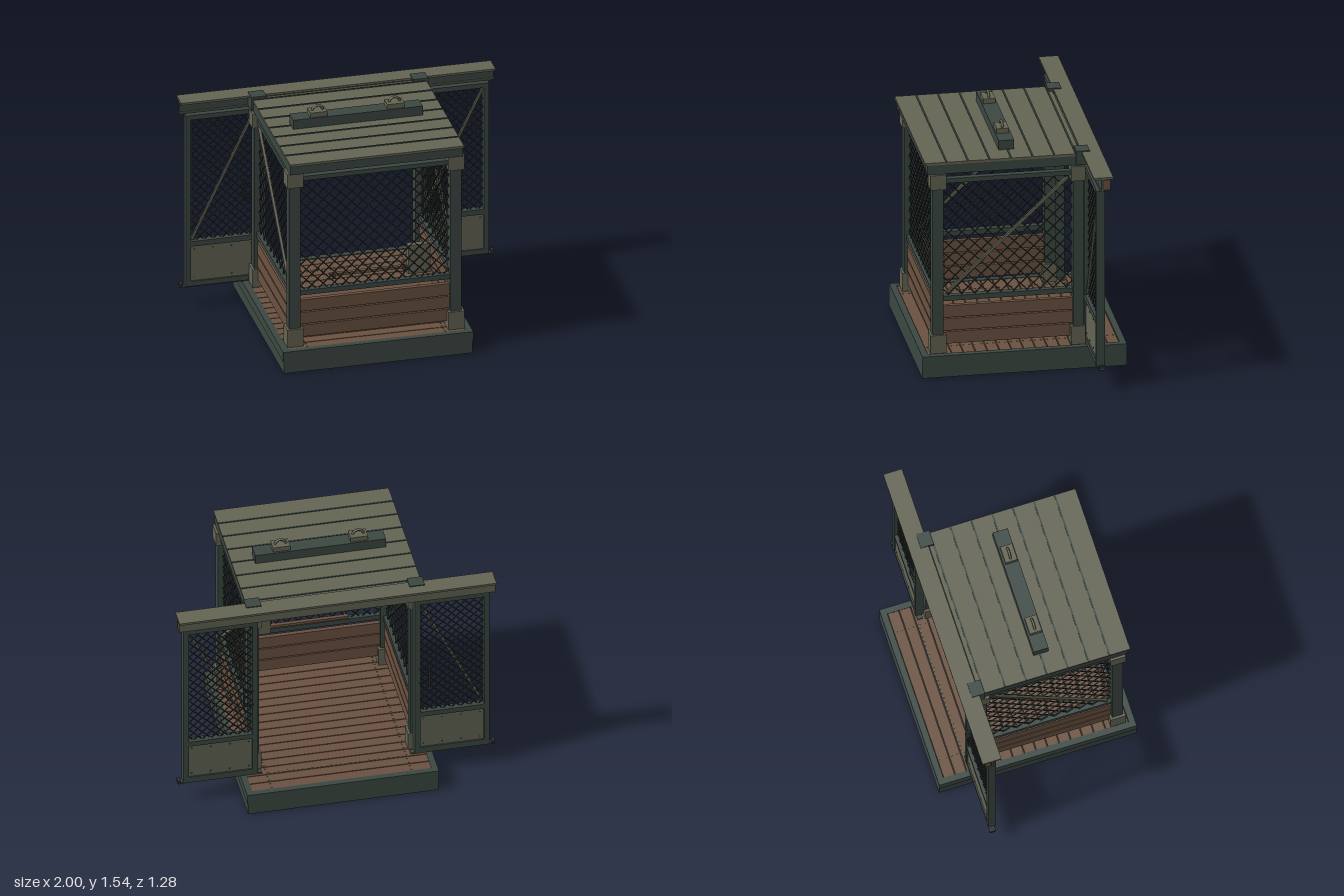
import * as THREE from 'three';
import { mergeGeometries } from 'three/addons/utils/BufferGeometryUtils.js';

const mat = (name, color) => {
  const m = new THREE.MeshStandardMaterial({ color });
  m.name = name;
  return m;
};

export function createModel() {
  const green = mat('dark green steel', 0x3c4843);
  const olive = mat('olive steel', 0x646554);
  const wood = mat('brown wood', 0x6b5241);
  const wire = mat('dark wire', 0x2a312e);
  const model = new THREE.Group();
  model.name = 'liftCage';

  const add = (name, geo, m, parent = model) => {
    const mesh = new THREE.Mesh(geo, m);
    mesh.name = name;
    parent.add(mesh);
    return mesh;
  };
  const boxGeo = (x0, x1, y0, y1, z0, z1) =>
    new THREE.BoxGeometry(x1 - x0, y1 - y0, z1 - z0).translate((x0 + x1) / 2, (y0 + y1) / 2, (z0 + z1) / 2);
  const box = (name, m, x0, x1, y0, y1, z0, z1, parent = model) =>
    add(name, boxGeo(x0, x1, y0, y1, z0, z1), m, parent);

  // Square bar between two points
  const bar = (name, m, a, b, t, parent = model) => {
    const p = new THREE.Vector3(...a), q = new THREE.Vector3(...b);
    const mesh = add(name, new THREE.BoxGeometry(t, p.distanceTo(q), t), m, parent);
    mesh.position.copy(p).add(q).multiplyScalar(0.5);
    mesh.quaternion.setFromUnitVectors(new THREE.Vector3(0, 1, 0), q.sub(p).normalize());
    return mesh;
  };

  // Diamond wire mesh filling a rectangle in the xy plane
  const wireMesh = (name, w, h, pitch, parent = model) => {
    const parts = [];
    for (let c = -(w + h) / 2 + pitch / 2; c < (w + h) / 2; c += pitch) {
      const x0 = Math.max(-w / 2, -h / 2 - c), x1 = Math.min(w / 2, h / 2 - c);
      if (x1 - x0 < 0.005) continue;
      const mid = (x0 + x1) / 2;
      for (const s of [1, -1]) {
        parts.push(new THREE.BoxGeometry((x1 - x0) * Math.SQRT2, 0.006, 0.006)
          .rotateZ(s * Math.PI / 4).translate(s * mid, mid + c, s * 0.002));
      }
    }
    return add(name, mergeGeometries(parts), wire, parent);
  };

  // Base: solid tray, raised rim, plank floor
  box('baseTray', green, -0.6, 0.6, 0, 0.08, -0.64, 0.64);
  box('baseCore', green, -0.57, 0.57, 0.08, 0.122, -0.61, 0.61);
  for (const s of [1, -1]) {
    box('baseRimSide', green, s > 0 ? 0.565 : -0.605, s > 0 ? 0.605 : -0.565, 0.08, 0.145, -0.64, 0.64);
    box('baseRimEnd', green, -0.565, 0.565, 0.08, 0.145, s > 0 ? 0.6 : -0.64, s > 0 ? 0.64 : -0.6);
  }
  const planks = 16, step = 1.2 / planks, nails = [];
  for (let i = 0; i < planks; i++) {
    const z = -0.6 + i * step;
    box('floorPlank', wood, -0.565, 0.565, 0.12, 0.141, z + 0.003, z + step - 0.003);
    for (const x of [-0.44, 0.44]) for (const d of [0.25, 0.75])
      nails.push(new THREE.BoxGeometry(0.01, 0.004, 0.01).translate(x, 0.142, z + d * step));
  }
  for (let x = -0.42; x <= 0.421; x += 0.03)
    nails.push(new THREE.BoxGeometry(0.012, 0.006, 0.012).translate(x, 0.142, -0.44));
  add('floorNails', mergeGeometries(nails), olive);

  // Posts with corner brackets
  for (const x of [-0.513, 0.513]) for (const z of [0.533, -0.347]) {
    box('post', green, x - 0.036, x + 0.036, 0.14, 1.34, z - 0.035, z + 0.035);
    for (const [y0, y1] of [[0.145, 0.265], [1.235, 1.332]])
      box('postBracket', olive, x - 0.051, x + 0.051, y0, y1, z - (z > 0 ? 0.049 : 0.04), z + 0.049);
  }

  // Closed panels on the front and both sides, drawn in local xy
  const panel = (name, w, x, z, turn, pitch) => {
    const g = new THREE.Group();
    g.name = name;
    g.position.set(x, 0, z);
    g.rotation.y = turn;
    model.add(g);
    const h = w / 2;
    for (let i = 0; i < 3; i++)
      box('wallBoard', wood, -h, h, 0.193 + i * 0.087, 0.272 + i * 0.087, -0.014, 0.014, g);
    box('middleRail', green, -h, h, 0.48, 0.513, -0.02, 0.02, g);
    box('topRail', green, -h, h, 1.265, 1.295, -0.02, 0.02, g);
    wireMesh('wireMesh', w, 0.754, pitch, g).position.y = 0.889;
    return g;
  };
  panel('frontPanel', 0.956, 0, 0.533, 0, 0.072);
  for (const s of [-1, 1]) {
    panel('sidePanel', 0.81, s * 0.515, 0.093, Math.PI / 2, 0.082);
    bar('sideBrace', olive, [s * 0.527, 0.54, 0.47], [s * 0.527, 1.255, -0.285], 0.016);
  }

  // Control box and hand bar inside the front panel
  box('controlBox', olive, 0.225, 0.365, 0.52, 0.715, 0.46, 0.505);
  box('handBar', wood, -0.27, 0.225, 0.555, 0.573, 0.465, 0.49);
  for (const x of [-0.25, 0.2]) box('handBarBracket', wire, x - 0.008, x + 0.008, 0.553, 0.57, 0.485, 0.525);

  // Roof frame, planks and seam strips
  for (const s of [-1, 1]) {
    box('roofSideBeam', green, s * 0.513 - 0.036, s * 0.513 + 0.036, 1.335, 1.397, -0.36, 0.6);
    box('railBlock', green, s * 0.515 - 0.048, s * 0.515 + 0.048, 1.34, 1.433, -0.415, -0.33);
  }
  for (const [z0, z1] of [[0.53, 0.598], [-0.38, -0.312]])
    box('roofCrossBeam', green, -0.48, 0.48, 1.335, 1.397, z0, z1);
  const seams = [-0.36, -0.33, -0.195, -0.06, 0.075, 0.21, 0.345, 0.48, 0.615];
  for (let i = 0; i < seams.length - 1; i++) {
    box('roofPlank', olive, -0.553, 0.553, 1.397, 1.413, seams[i], seams[i + 1]);
    if (i) box('roofSeam', green, -0.553, 0.553, 1.41, 1.418, seams[i] - 0.005, seams[i] + 0.005);
  }

  // Lifting beam with two eyes
  box('liftingBeam', green, -0.412, 0.412, 1.413, 1.475, 0.033, 0.13);
  for (const x of [-0.247, 0.243]) {
    box('eyePlate', olive, x - 0.055, x + 0.055, 1.475, 1.507, 0.045, 0.122);
    add('liftingEye', new THREE.TorusGeometry(0.034, 0.008, 8, 24), olive).position.set(x, 1.502, 0.083);
  }

  // Door rail: top flange, web, running track and wooden ends
  box('railFlange', olive, -1, 1, 1.413, 1.427, -0.487, -0.365);
  box('railWeb', green, -1, 1, 1.345, 1.413, -0.428, -0.412);
  box('railLip', olive, -1, 1, 1.335, 1.345, -0.428, -0.405);
  box('railTrack', olive, -0.99, 0.99, 1.345, 1.405, -0.466, -0.432);
  for (const s of [-1, 1]) {
    box('railEnd', wood, s * 0.992 - 0.004, s * 0.992 + 0.004, 1.342, 1.408, -0.468, -0.43);
    box('doorGuide', green, s > 0 ? 0.47 : -1, s > 0 ? 1 : -0.47, 0.143, 0.152, -0.435, -0.4);
    box('guideStop', wire, s * 0.99 - 0.01, s * 0.99 + 0.01, 0.145, 0.167, -0.44, -0.4);
  }

  // Sliding doors, opened outward along the rail
  for (const s of [-1, 1]) {
    const g = new THREE.Group();
    g.name = s > 0 ? 'leftDoor' : 'rightDoor';
    g.position.set(s * 0.73, 0, -0.413);
    model.add(g);
    for (const x of [-0.218, 0.218]) box('doorStile', green, x - 0.017, x + 0.017, 0.153, 1.325, -0.026, 0.026, g);
    for (const [y0, y1] of [[0.153, 0.187], [0.425, 0.46], [1.293, 1.325]])
      box('doorRail', green, -0.201, 0.201, y0, y1, -0.024, 0.024, g);
    box('kickPanel', olive, -0.201, 0.201, 0.187, 0.425, -0.015, 0.015, g);
    wireMesh('doorMesh', 0.402, 0.833, 0.056, g).position.y = 0.876;
    bar('doorBrace', olive, [-0.195, 0.47, 0.01], [0.195, 1.285, 0.01], 0.014, g);

    // Rivets around the kick panel
    const rivets = [];
    for (const x of [-0.18, -0.06, 0.06, 0.18]) for (const y of [0.21, 0.4])
      rivets.push(new THREE.BoxGeometry(0.008, 0.008, 0.036).translate(x, y, 0));
    add('kickPanelRivets', mergeGeometries(rivets), green, g);

    // Pull handle near the inner stile
    const hx = -s * 0.145;
    box('doorHandle', wire, hx - 0.005, hx + 0.005, 0.67, 0.815, -0.036, -0.024, g);
    for (const y of [0.69, 0.795]) bar('handleArm', wire, [hx, y, -0.03], [-s * 0.21, y, -0.027], 0.009, g);
  }
  return model;
}
